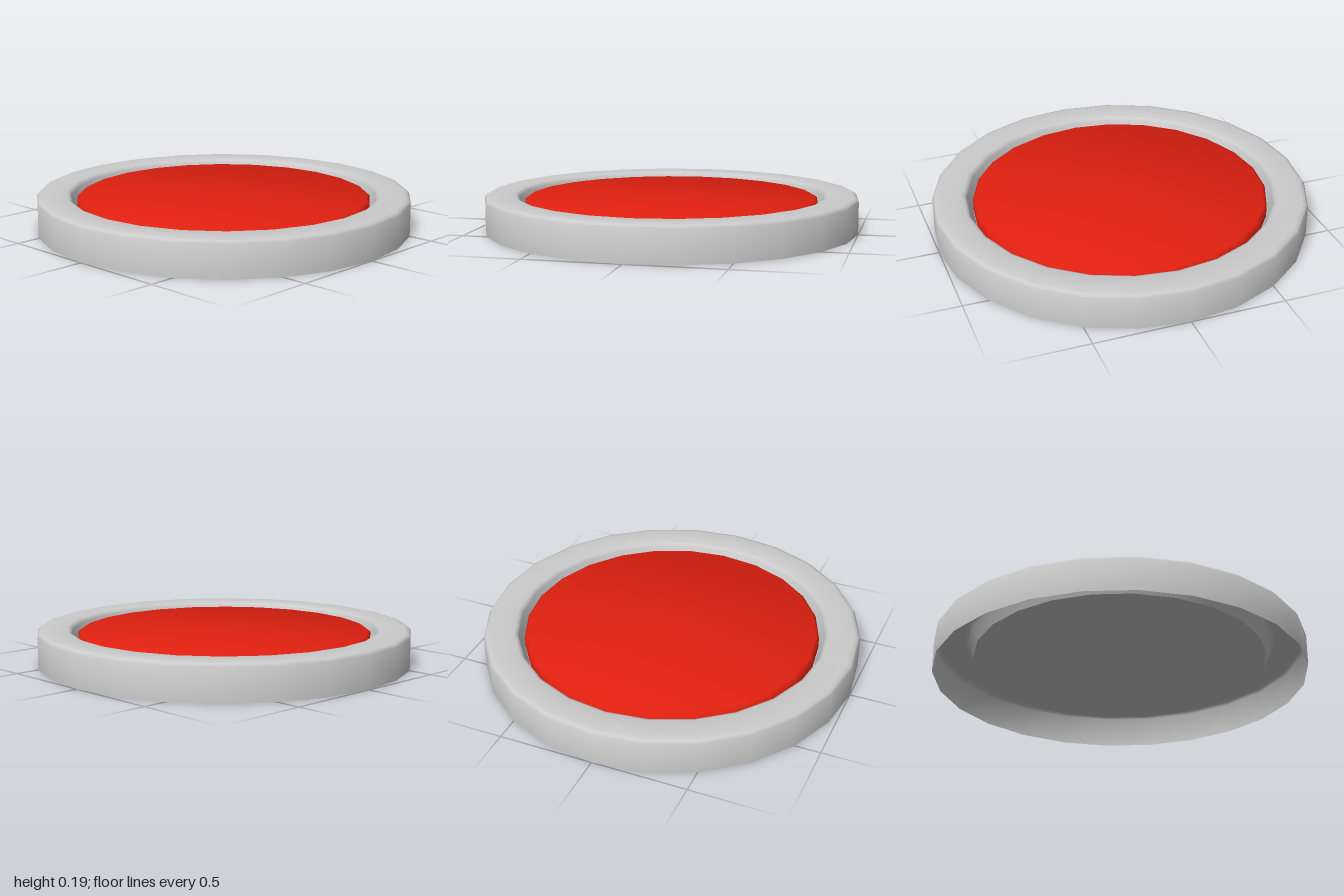
import * as THREE from 'three';
import { toCreasedNormals } from 'three/addons/utils/BufferGeometryUtils.js';

const SIDES = 24;

// Revolve a [radius, height] profile, keeping sharp corners sharp
function turned(name, profile, material, crease) {
  const points = profile.map(([r, y]) => new THREE.Vector2(r, y));
  const geometry = toCreasedNormals(new THREE.LatheGeometry(points, SIDES), crease);
  const mesh = new THREE.Mesh(geometry, material);
  mesh.name = name;
  return mesh;
}

export function createModel() {
  const group = new THREE.Group();
  group.name = 'pushButton';
  const grey = new THREE.MeshStandardMaterial({ color: 0xcccccc, side: THREE.DoubleSide });
  const red = new THREE.MeshStandardMaterial({ color: 0xe02010 });

  // Hollow housing: outer wall, rounded rim and the wall of the well
  group.add(turned('housing', [
    [1, 0], [1, 0.17], [0.99, 0.185], [0.97, 0.19],
    [0.84, 0.19], [0.825, 0.185], [0.817, 0.17], [0.787, 0.095],
  ], grey, 0.9));

  // Floor of the well, closing the underside of the button
  const floor = new THREE.Mesh(new THREE.CircleGeometry(0.787, SIDES), grey);
  floor.name = 'wellFloor';
  floor.rotation.x = -Math.PI / 2;
  floor.position.y = 0.095;
  group.add(floor);

  // Red button with a softened top edge
  group.add(turned('button', [
    [0.785, 0.095], [0.785, 0.16], [0.77, 0.17], [0, 0.173],
  ], red, 1.1));

  return group;
}
